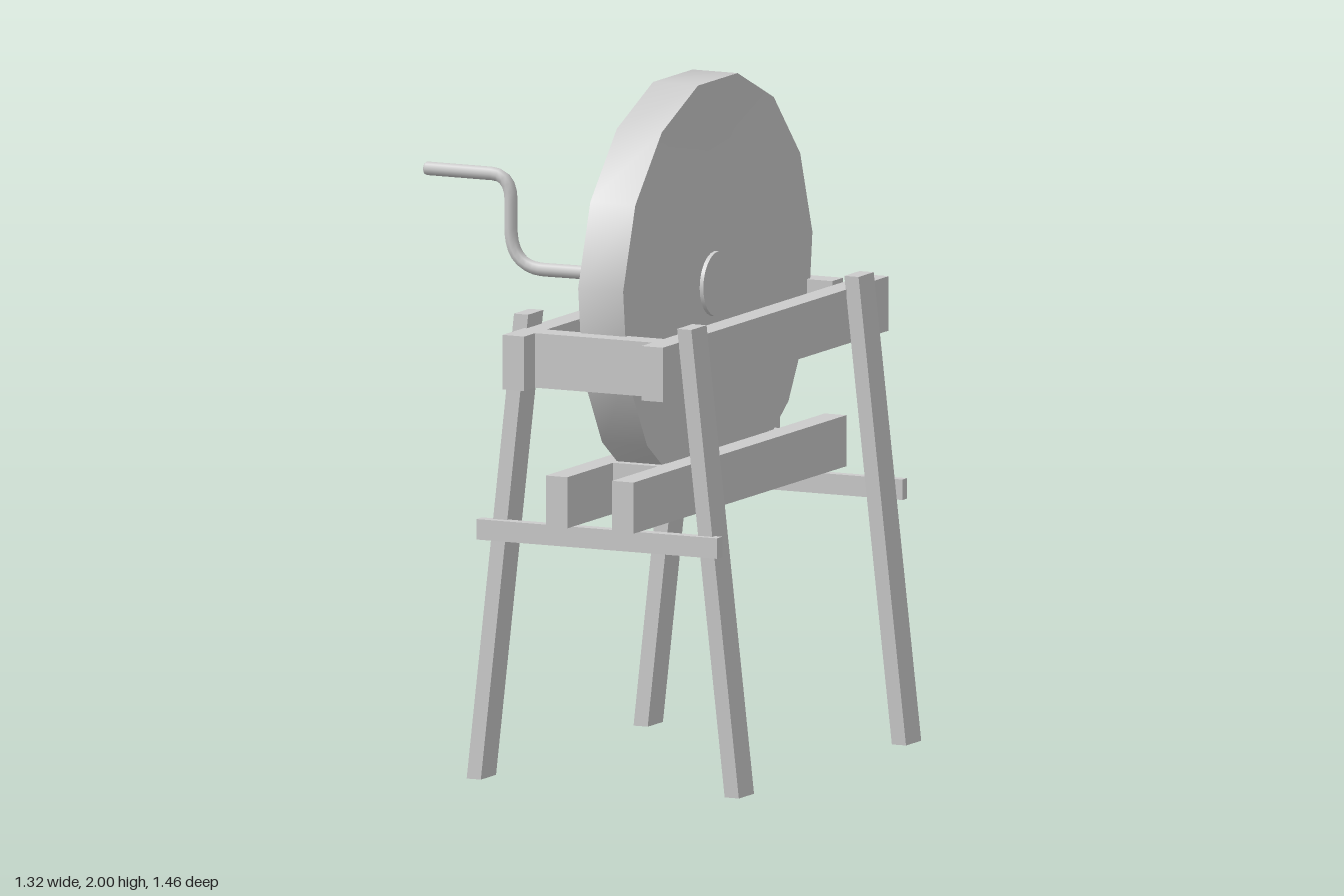
import * as THREE from 'three';
import { toCreasedNormals } from 'three/addons/utils/BufferGeometryUtils.js';

const material = new THREE.MeshStandardMaterial({ color: 0xcccccc });

export function createModel() {
  const group = new THREE.Group();
  const add = (name, geometry) => {
    const mesh = new THREE.Mesh(geometry, material);
    mesh.name = name;
    group.add(mesh);
    return mesh;
  };
  // Timber given by its extents along each axis
  const beam = (name, [x0, x1], [y0, y1], [z0, z1]) =>
    add(name, new THREE.BoxGeometry(x1 - x0, y1 - y0, z1 - z0))
      .position.set((x0 + x1) / 2, (y0 + y1) / 2, (z0 + z1) / 2);

  // Upper frame
  beam('rightSideBeam', [-0.04, 0.03], [1.17, 1.33], [-0.73, 0.725]);
  beam('leftSideBeam', [0.41, 0.48], [1.17, 1.33], [-0.73, 0.725]);
  beam('frontCrossBeam', [0.03, 0.41], [1.17, 1.33], [0.58, 0.655]);
  beam('backCrossBeam', [0.03, 0.375], [1.17, 1.33], [-0.645, -0.575]);

  // Lower frame with its spacer blocks and the rungs it rests on
  beam('lowerBeamRight', [0.08, 0.15], [0.77, 0.92], [-0.685, 0.685]);
  beam('lowerBeamLeft', [0.295, 0.365], [0.77, 0.92], [-0.685, 0.685]);
  for (const z of [-0.36, 0.36]) {
    beam('spacerBlock', [0.15, 0.295], [0.765, 0.92], [z - 0.03, z + 0.03]);
  }
  beam('frontRung', [-0.175, 0.605], [0.705, 0.765], [0.59, 0.625]);
  beam('backRung', [-0.175, 0.605], [0.705, 0.765], [-0.6, -0.57]);

  // Splayed legs: boxes sheared from bottom centre to top centre
  const leg = (name, bottom, top) => {
    const geo = new THREE.BoxGeometry(0.046, 1.37, 0.098).translate(0, 0.685, 0);
    const p = geo.attributes.position;
    for (let i = 0; i < p.count; i++) {
      const t = p.getY(i) / 1.37;
      p.setX(i, p.getX(i) + THREE.MathUtils.lerp(bottom[0], top[0], t));
      p.setZ(i, p.getZ(i) + THREE.MathUtils.lerp(bottom[1], top[1], t));
    }
    geo.computeVertexNormals();
    add(name, geo);
  };
  leg('frontLeftLeg', [0.635, 0.54], [0.497, 0.572]);
  leg('backLeftLeg', [0.635, -0.537], [0.497, -0.505]);
  leg('frontRightLeg', [-0.187, 0.57], [-0.05, 0.537]);
  leg('backRightLeg', [-0.187, -0.505], [-0.05, -0.537]);

  // Fifteen-sided grinding wheel with faintly dished faces
  const profile = [
    [0, 0.158], [0.16, 0.158], [0.613, 0.147],
    [0.613, 0.293], [0.16, 0.282], [0, 0.282],
  ].map(([r, x]) => new THREE.Vector2(r, x));
  const wheel = new THREE.LatheGeometry(profile, 15, Math.PI / 2).rotateZ(-Math.PI / 2);
  add('grindingWheel', toCreasedNormals(wheel, 0.6)).position.y = 1.4;
  const hub = new THREE.CylinderGeometry(0.095, 0.095, 0.148, 24).rotateZ(Math.PI / 2);
  add('hub', hub).position.set(0.22, 1.4, 0);

  // Axle bent into a crank handle
  const v = (x, y) => new THREE.Vector3(x, y, 0);
  const crank = new THREE.CurvePath();
  crank.add(new THREE.LineCurve3(v(0.16, 1.403), v(-0.26, 1.4)));
  crank.add(new THREE.QuadraticBezierCurve3(v(-0.26, 1.4), v(-0.375, 1.395), v(-0.378, 1.51)));
  crank.add(new THREE.LineCurve3(v(-0.378, 1.51), v(-0.378, 1.6)));
  crank.add(new THREE.QuadraticBezierCurve3(v(-0.378, 1.6), v(-0.38, 1.67), v(-0.44, 1.67)));
  crank.add(new THREE.LineCurve3(v(-0.44, 1.67), v(-0.65, 1.67)));
  add('crank', new THREE.TubeGeometry(crank, 48, 0.02, 8));
  const cap = new THREE.SphereGeometry(0.02, 8, 4).scale(0.5, 1, 1);
  add('crankEnd', cap).position.set(-0.65, 1.67, 0);

  // Bearing ring that holds the axle on the side beam
  const ring = new THREE.TorusGeometry(0.04, 0.025, 4, 8).rotateY(Math.PI / 2);
  add('bearingRing', toCreasedNormals(ring, 0.3)).position.set(-0.006, 1.395, 0);

  return group;
}
